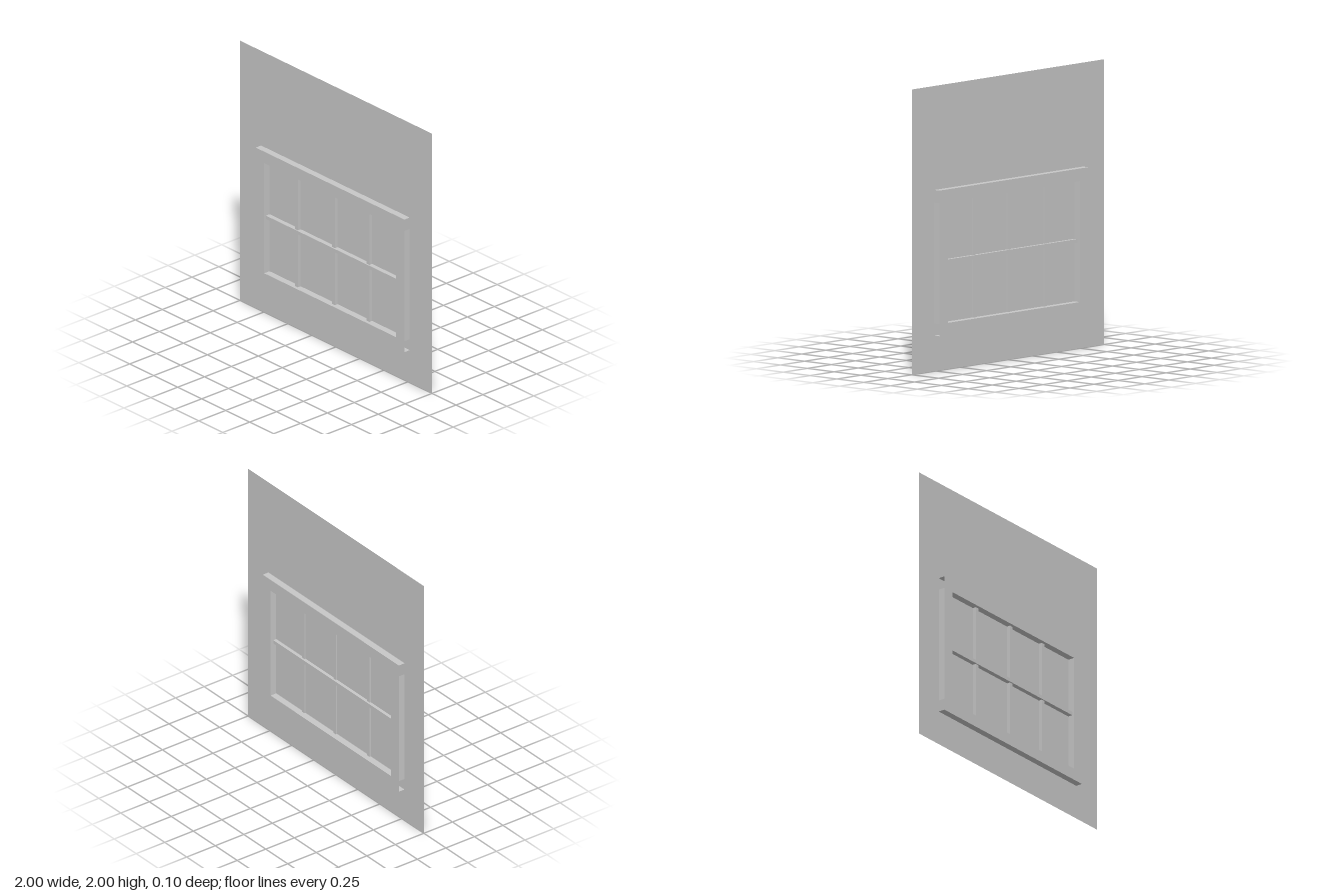
import * as THREE from 'three';

export function createModel() {
  const model = new THREE.Group();
  model.name = 'windowPanel';
  const grey = new THREE.MeshStandardMaterial({ color: 0xc7c7c7, side: THREE.DoubleSide });
  grey.name = 'lightGrey';

  const add = (name, geometry, x, y, z, parent = model) => {
    const mesh = new THREE.Mesh(geometry, grey);
    mesh.name = name;
    mesh.position.set(x, y, z);
    parent.add(mesh);
    return mesh;
  };

  // Thin wall sheet
  add('wallPanel', new THREE.PlaneGeometry(2, 2), 0, 1, 0);

  // Frame limits: outer edge, opening and half depth
  const outer = { l: -0.78, r: 0.768, b: 0.25, t: 1.271 };
  const inner = { l: -0.692, r: 0.68, b: 0.335, t: 1.183 };
  const half = 0.05;
  const frame = new THREE.Group();
  frame.name = 'frame';
  model.add(frame);

  const corners = ({ l, r, b, t }) => [[l, b], [r, b], [r, t], [l, t]].map(p => new THREE.Vector2(...p));
  const ring = new THREE.Shape(corners(outer));
  ring.holes.push(new THREE.Path(corners(inner).reverse()));

  // Front and back faces of the frame
  add('frameFront', new THREE.ShapeGeometry(ring), 0, 0, half, frame);
  const back = add('frameBack', new THREE.ShapeGeometry(ring), 0, 0, -half, frame);
  back.geometry.scale(-1, 1, 1);
  back.rotation.y = Math.PI;

  // Strips across the depth; the rails stay open at their ends
  const level = (name, l, r, y, up) => {
    const g = new THREE.PlaneGeometry(r - l, 2 * half).rotateX(up ? -Math.PI / 2 : Math.PI / 2);
    add(name, g, (l + r) / 2, y, 0, frame);
  };
  const upright = (name, x, left) => {
    const g = new THREE.PlaneGeometry(2 * half, inner.t - inner.b).rotateY(left ? Math.PI / 2 : -Math.PI / 2);
    add(name, g, x, (inner.t + inner.b) / 2, 0, frame);
  };
  level('topRailOutside', outer.l, outer.r, outer.t, true);
  level('bottomRailOutside', outer.l, outer.r, outer.b, false);
  level('topRailInside', inner.l, inner.r, inner.t, false);
  level('bottomRailInside', inner.l, inner.r, inner.b, true);
  upright('leftJambOutside', outer.r, true);
  upright('rightJambOutside', outer.l, false);
  upright('leftJambInside', inner.r, false);
  upright('rightJambInside', inner.l, true);

  // Glazing bars
  for (const x of [-0.382, 0.003, 0.362]) {
    add('verticalBar', new THREE.BoxGeometry(0.029, 0.99, 0.036), x, 0.753, 0.008);
  }
  add('horizontalBar', new THREE.BoxGeometry(inner.r - inner.l, 0.026, 0.06), (inner.l + inner.r) / 2, 0.761, 0.005);

  return model;
}
